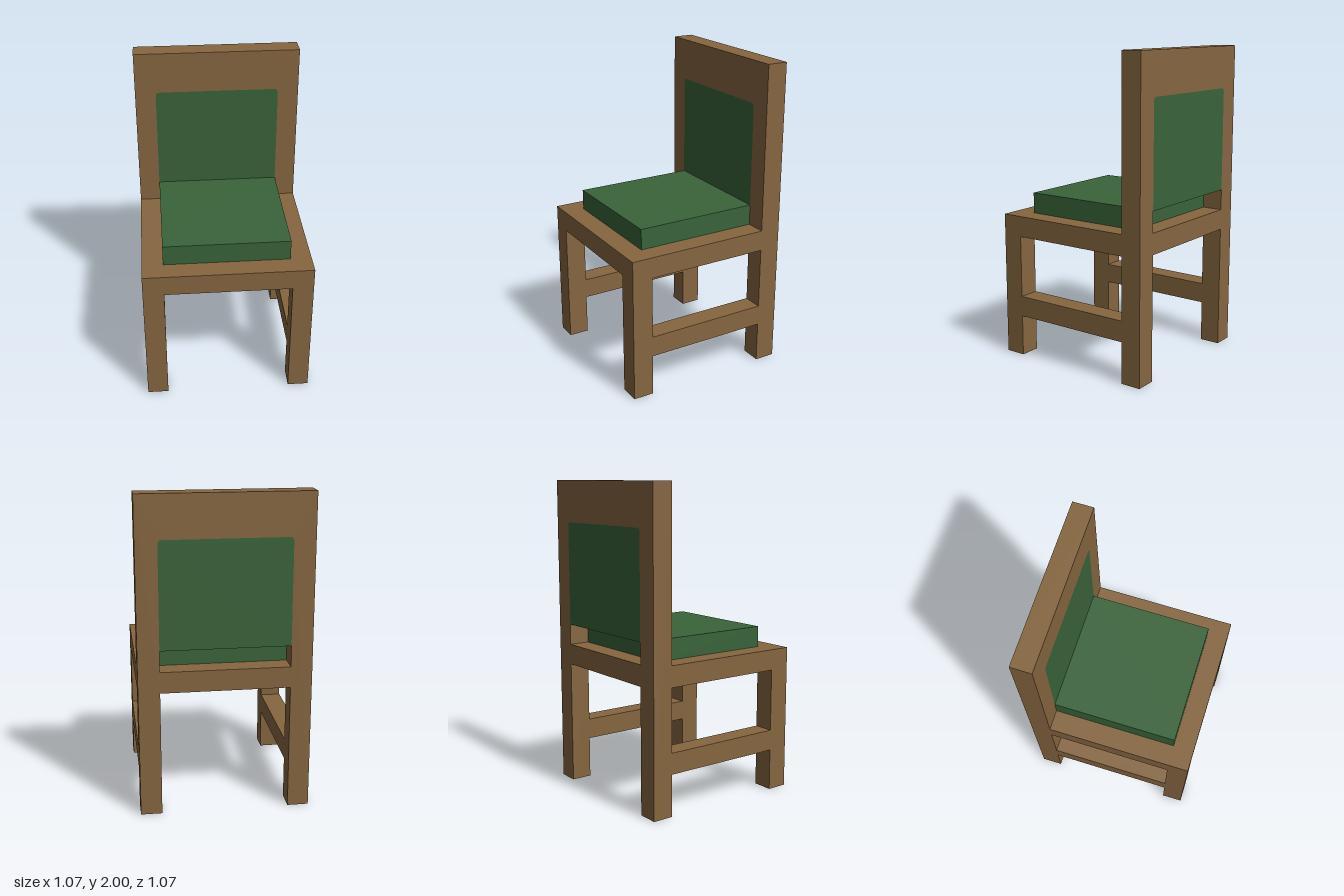
import * as THREE from 'three';

const U = 2 / 30; // the chair is laid out on a grid 30 units tall

export function createModel() {
  const group = new THREE.Group();
  const wood = new THREE.MeshStandardMaterial({ color: 0x866640 });
  wood.name = 'brown wood';
  const fabric = new THREE.MeshStandardMaterial({ color: 0x39643a });
  fabric.name = 'green fabric';

  const add = (name, geometry, material) => {
    const mesh = new THREE.Mesh(geometry, material);
    mesh.name = name;
    group.add(mesh);
    return mesh;
  };

  // Box given by its low and high corners in grid units
  const box = (name, [x0, y0, z0], [x1, y1, z1], material) => {
    const geometry = new THREE.BoxGeometry((x1 - x0) * U, (y1 - y0) * U, (z1 - z0) * U);
    add(name, geometry, material).position.set((x0 + x1) / 2 * U, (y0 + y1) / 2 * U, (z0 + z1) / 2 * U);
  };

  // Upright plate filling the depth of the chair back
  const backPlate = (name, shape, material) => {
    const geometry = new THREE.ExtrudeGeometry(shape, { depth: 2 * U, bevelEnabled: false, curveSegments: 4 });
    add(name, geometry, material).position.z = -8 * U;
  };

  // Opening outline: square at the bottom, slightly rounded at the top corners
  const outline = (path, bottom) => {
    const w = 6 * U, top = 26 * U, r = 0.025;
    path.moveTo(-w, bottom * U);
    path.lineTo(w, bottom * U);
    path.lineTo(w, top - r);
    path.quadraticCurveTo(w, top, w - r, top);
    path.lineTo(-w + r, top);
    path.quadraticCurveTo(-w, top, -w, top - r);
    path.closePath();
    return path;
  };

  // Back frame: rear legs, posts, seat rail and top rail in one piece
  const frame = new THREE.Shape(
    [[-8, 0], [-6, 0], [-6, 12], [6, 12], [6, 0], [8, 0], [8, 30], [-8, 30]]
      .map(([x, y]) => new THREE.Vector2(x * U, y * U))
  );
  frame.holes.push(outline(new THREE.Path(), 14));
  backPlate('backFrame', frame, wood);

  // Back panel, flush on both faces, with a gap left beneath it
  backPlate('backPanel', outline(new THREE.Shape(), 16), fabric);

  // Seat and cushion
  box('seat', [-8, 12, -6], [8, 14, 8], wood);
  box('seatCushion', [-6, 14, -6], [6, 16, 6], fabric);

  // Front legs and side stretchers
  for (const [side, x] of [['left', 6], ['right', -8]]) {
    box(side + 'FrontLeg', [x, 0, 6], [x + 2, 12, 8], wood);
    box(side + 'Stretcher', [x, 4, -6], [x + 2, 6, 6], wood);
  }
  return group;
}
